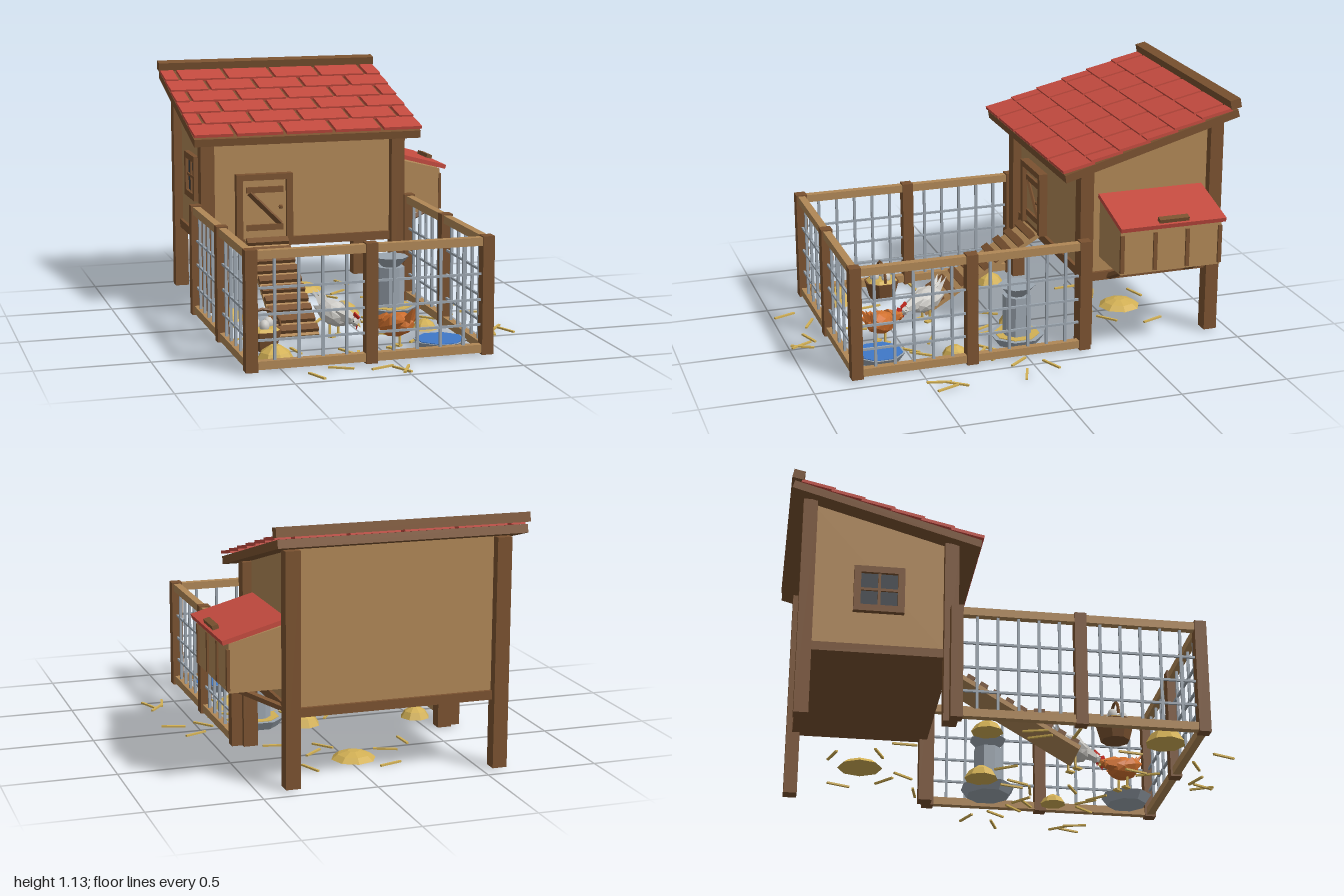
import * as THREE from 'three';

const mat = (name, color) => {
  const m = new THREE.MeshStandardMaterial({ color });
  m.name = name;
  return m;
};
const M = {
  wood: mat('dark wood', 0x7a5230), wall: mat('tan wood', 0xb08756), roof: mat('roof red', 0xc44b3f),
  metal: mat('metal grey', 0x9ca6b0), straw: mat('straw yellow', 0xd2b055), water: mat('water blue', 0x3f78c8),
  white: mat('white feather', 0xcfcdc8), orange: mat('orange feather', 0xd0702e),
  comb: mat('comb red', 0xc8281e), glass: mat('dark glass', 0x3a4046),
};

// Faceted copy of a geometry
const flat = (g) => {
  const f = g.index ? g.toNonIndexed() : g;
  f.computeVertexNormals();
  return f;
};

export function createModel() {
  const root = new THREE.Group();
  const add = (name, geo, m, p = [0, 0, 0], r = [0, 0, 0], parent = root) => {
    const mesh = new THREE.Mesh(geo, m);
    mesh.name = name;
    mesh.position.set(...p);
    mesh.rotation.set(...r);
    parent.add(mesh);
    return mesh;
  };
  const group = (name, parent = root) => {
    const g = new THREE.Group();
    g.name = name;
    parent.add(g);
    return g;
  };
  // Box given by its limits on each axis
  const box = (name, m, x0, x1, y0, y1, z0, z1, parent = root) =>
    add(name, new THREE.BoxGeometry(x1 - x0, y1 - y0, z1 - z0), m,
      [(x0 + x1) / 2, (y0 + y1) / 2, (z0 + z1) / 2], [0, 0, 0], parent);
  // Square-cut beam between two points
  const beam = (name, m, a, b, w, h, parent = root) => {
    const A = new THREE.Vector3(...a), B = new THREE.Vector3(...b);
    const mesh = add(name, new THREE.BoxGeometry(w, h, A.distanceTo(B)), m, [0, 0, 0], [0, 0, 0], parent);
    mesh.position.copy(A).add(B).multiplyScalar(0.5);
    mesh.quaternion.setFromUnitVectors(new THREE.Vector3(0, 0, 1), B.sub(A).normalize());
    return mesh;
  };
  const extrude = (pts, depth) => new THREE.ExtrudeGeometry(
    new THREE.Shape(pts.map((p) => new THREE.Vector2(...p))), { depth, bevelEnabled: false });
  // Profile of (z, y) points extruded from x0 to x1
  const across = (pts, x0, x1) => extrude(pts, x1 - x0).rotateY(-Math.PI / 2).translate(x1, 0, 0);
  const cyl = (rt, rb, h, n = 8) => flat(new THREE.CylinderGeometry(rt, rb, h, n));

  // House body, floor and corner posts
  const house = group('house');
  add('houseBody', across([[-0.3, 0.33], [-0.3, 0.85], [-0.9, 1.02], [-0.9, 0.33]], -0.57, 0.345), M.wall, [0, 0, 0], [0, 0, 0], house);
  box('floorFrame', M.wood, -0.585, 0.36, 0.31, 0.35, -0.915, -0.285, house);
  for (const x of [-0.578, 0.353]) {
    box('frontPost', M.wood, x - 0.0325, x + 0.0325, 0.01, 0.85, -0.32, -0.258, house);
    box('backPost', M.wood, x - 0.0325, x + 0.0325, 0.01, 1.02, -0.942, -0.88, house);
  }

  // Sloping roof with staggered tiles
  const roof = group('roof');
  add('roofDeck', across([[-0.17, 0.815], [-0.165, 0.85], [-0.985, 1.08], [-0.995, 1.045]], -0.658, 0.434), M.wood, [0, 0, 0], [0, 0, 0], roof);
  const tiles = group('tiles', roof);
  tiles.position.set(0, 0.855, -0.16);
  tiles.rotation.x = 0.273;
  const L = -0.66, R = 0.437, pitch = 0.2365, gap = 0.018;
  for (let row = 0; row < 6; row++) {
    const first = row % 2 ? -0.587 : -0.468;
    const cuts = [L - gap / 2];
    for (let x = first; x < R - 0.03; x += pitch) cuts.push(x);
    cuts.push(R + gap / 2);
    for (let i = 0; i + 1 < cuts.length; i++) {
      const a = cuts[i] + gap / 2, b = cuts[i + 1] - gap / 2;
      add('tile', new THREE.BoxGeometry(b - a, 0.014, 0.15), M.roof,
        [(a + b) / 2, 0.008, -row * 0.136 - 0.073], [-0.06, 0, 0], tiles);
    }
  }
  add('ridgeBeam', new THREE.BoxGeometry(1.108, 0.042, 0.05), M.wood, [-0.112, 1.107, -0.97], [0.2, 0, 0], roof);

  // Door with frame and Z brace
  const door = group('door');
  box('doorPanel', M.wall, -0.41, -0.195, 0.35, 0.635, -0.3, -0.283, door);
  for (const x of [-0.44, -0.197]) box('doorJamb', M.wood, x, x + 0.03, 0.35, 0.66, -0.3, -0.26, door);
  box('doorLintel', M.wood, -0.44, -0.167, 0.632, 0.66, -0.3, -0.258, door);
  for (const y of [0.39, 0.57]) box('doorBar', M.wood, -0.39, -0.212, y, y + 0.028, -0.285, -0.27, door);
  beam('doorBrace', M.wood, [-0.375, 0.57, -0.278], [-0.225, 0.418, -0.278], 0.012, 0.026, door);
  add('doorKnob', new THREE.IcosahedronGeometry(0.012), M.wood, [-0.225, 0.5, -0.27], [0, 0, 0], door);

  // Window on the right wall
  const win = group('window');
  box('windowPane', M.glass, -0.58, -0.572, 0.52, 0.7, -0.69, -0.51, win);
  for (const y of [0.505, 0.69]) box('windowFrame', M.wood, -0.595, -0.565, y, y + 0.03, -0.71, -0.49, win);
  for (const z of [-0.71, -0.52]) box('windowFrame', M.wood, -0.595, -0.565, 0.505, 0.72, z, z + 0.03, win);
  box('windowBar', M.wood, -0.588, -0.565, 0.606, 0.618, -0.69, -0.51, win);
  box('windowBar', M.wood, -0.588, -0.565, 0.52, 0.7, -0.606, -0.594, win);

  // Nest box with lid, battens and brackets
  const nest = group('nestBox');
  add('nestBody', extrude([[0.34, 0.42], [0.6, 0.42], [0.6, 0.63], [0.34, 0.695]], 0.48), M.wall, [0, 0, -0.845], [0, 0, 0], nest);
  add('nestLid', new THREE.BoxGeometry(0.29, 0.02, 0.5), M.roof, [0.489, 0.675, -0.605], [0, 0, -0.265], nest);
  add('lidHandle', new THREE.BoxGeometry(0.028, 0.026, 0.14), M.wood, [0.608, 0.658, -0.61], [0, 0, -0.265], nest);
  for (const z of [-0.838, -0.682, -0.528, -0.372]) box('nestBatten', M.wood, 0.595, 0.609, 0.43, 0.605, z - 0.009, z + 0.009, nest);
  for (const z of [-0.785, -0.41]) beam('nestBracket', M.wood, [0.36, 0.325, z], [0.55, 0.42, z], 0.022, 0.022, nest);

  // Ramp with rungs
  const ramp = group('ramp');
  beam('rampBoard', M.wall, [-0.3, 0.345, -0.27], [-0.3, 0.012, 0.3], 0.2, 0.02, ramp);
  for (let i = 0; i < 10; i++) {
    const t = (i + 0.5) / 10;
    add('rampRung', new THREE.BoxGeometry(0.2, 0.02, 0.036), M.wood, [-0.3, 0.362 - 0.333 * t, -0.262 + 0.57 * t], [0.528, 0, 0], ramp);
  }

  // Fence: posts, rails and wire mesh
  const fence = group('fence');
  const xl = -0.635, xr = 0.408, zf = 0.79, zm = 0.262, zb = -0.27, xm = -0.113;
  for (const [x, z] of [[xl, zf], [xm, zf], [xr, zf], [xl, zm], [xr, zm], [xl, zb], [xr, zb]])
    box('fencePost', M.wood, x - 0.026, x + 0.026, 0.01, 0.53, z - 0.026, z + 0.026, fence);
  const panel = (x0, z0, x1, z1, bars) => {
    for (const y of [0.036, 0.506]) beam('fenceRail', M.wall, [x0, y, z0], [x1, y, z1], 0.034, 0.036, fence);
    for (const y of [0.14, 0.25, 0.363]) beam('meshWire', M.metal, [x0, y, z0], [x1, y, z1], 0.01, 0.01, fence);
    for (let i = 1; i <= bars; i++) {
      const t = i / (bars + 1), x = x0 + (x1 - x0) * t, z = z0 + (z1 - z0) * t;
      box('meshWire', M.metal, x - 0.006, x + 0.006, 0.05, 0.49, z - 0.006, z + 0.006, fence);
    }
  };
  panel(xl, zf, xm, zf, 4);
  panel(xm, zf, xr, zf, 4);
  for (const x of [xl, xr]) {
    panel(x, zf, x, zm, 5);
    panel(x, zm, x, zb, 5);
  }

  // Feeder: tray of grain, column and hopper
  const feeder = group('feeder');
  feeder.position.set(0.235, 0, -0.01);
  feeder.rotation.y = Math.PI / 8;
  add('feederTray', cyl(0.128, 0.1, 0.04), M.metal, [0, 0.03, 0], [0, 0, 0], feeder);
  add('feederGrain', cyl(0.105, 0.105, 0.006), M.straw, [0, 0.05, 0], [0, 0, 0], feeder);
  add('feederColumn', cyl(0.066, 0.066, 0.2), M.metal, [0, 0.14, 0], [0, 0, 0], feeder);
  add('feederHopper', cyl(0.086, 0.04, 0.05), M.metal, [0, 0.262, 0], [0, 0, 0], feeder);

  // Water dish
  add('waterBowl', cyl(0.118, 0.09, 0.04), M.metal, [0.25, 0.03, 0.645], [0, Math.PI / 8, 0]);
  add('waterSurface', cyl(0.108, 0.108, 0.006), M.water, [0.25, 0.05, 0.645], [0, Math.PI / 8, 0]);

  // Egg basket
  const basket = group('eggBasket');
  basket.position.set(-0.495, 0, 0.435);
  add('basketBody', cyl(0.085, 0.062, 0.085), M.wood, [0, 0.052, 0], [0, Math.PI / 8, 0], basket);
  add('basketStraw', cyl(0.06, 0.079, 0.014), M.straw, [0, 0.1, 0], [0, Math.PI / 8, 0], basket);
  add('basketHandle', flat(new THREE.TorusGeometry(0.08, 0.007, 4, 8, Math.PI)), M.wood, [0, 0.105, 0], [0, 0, 0], basket);
  for (const [x, z] of [[-0.03, -0.015], [0.03, -0.015], [0, 0.035]])
    add('egg', new THREE.IcosahedronGeometry(0.023, 1).scale(1, 1.25, 1), M.white, [x, 0.118, z], [0, 0, 0], basket);

  // Straw heaps: x, z, radius, height
  for (const [x, z, r, h] of [[-0.51, -0.12, 0.07, 0.05], [0.025, -0.07, 0.077, 0.06], [0.295, 0.305, 0.06, 0.045],
    [-0.495, 0.655, 0.088, 0.07], [-0.025, -0.62, 0.1, 0.035]]) {
    add('strawHeap', cyl(r * 0.72, r, h * 0.6), M.straw, [x, 0.01 + h * 0.3, z], [0, x * 3, 0]);
    add('strawHeapTop', cyl(r * 0.25, r * 0.72, h * 0.4), M.straw, [x, 0.01 + h * 0.8, z], [0, x * 3, 0]);
  }

  // Loose straws: x, z, heading
  const straws = [
    [0.54, -0.07, -0.4], [0.47, 0.06, 0.9], [0.61, 0.07, 0.35], [0.57, 0.46, 1.8], [0.64, 0.44, 1.2], [0.61, 0.39, -0.9],
    [-0.49, 0.11, -1.1], [-0.55, 0.08, -1.3], [-0.55, 0.26, -0.1], [0.1, 0.08, 1.3], [0.05, 0.1, 1.1], [0.14, 0.17, 0.2],
    [0.27, 0.15, -0.7], [0.31, 0.18, 0.6], [0.38, 0.13, 0.8], [0.35, 0.46, 0.9], [0.25, 0.45, -0.9], [-0.37, 0.53, 1.4],
    [-0.16, 0.6, 1.2], [-0.13, 0.66, -1.2], [0.19, 0.49, -0.8], [-0.39, 0.94, 1.2], [-0.26, 0.85, 0.5], [-0.09, 0.89, -0.35],
    [-0.02, 0.94, 1.1], [0, 0.94, -1.1], [-0.2, -0.55, 0.4], [0.12, -0.5, -0.7], [0.2, -0.7, 1.2], [-0.15, -0.75, -0.3],
    [0.05, -0.42, 0.9], [-0.32, -0.45, 1.5], [0.25, -0.35, 0.2], [0.1, 0.36, 0.5], [-0.12, 0.02, -1],
  ];
  for (const [x, z, a] of straws)
    add('looseStraw', new THREE.BoxGeometry(0.11, 0.008, 0.011), M.straw, [x, 0.013, z], [0, -a, 0]);

  // Pecking hens, built facing +z
  const hen = (name, m, x, z, heading) => {
    const g = group(name);
    g.position.set(x, 0, z);
    g.rotation.y = heading;
    const part = (n, geo, mm, p, r) => add(n, flat(geo), mm, p, r, g);
    part('body', new THREE.IcosahedronGeometry(1, 1).scale(0.06, 0.055, 0.09), m, [0, 0.115, 0], [0.25, 0, 0]);
    part('neck', new THREE.CylinderGeometry(0.02, 0.042, 0.085, 6), m, [0, 0.112, 0.088], [1.75, 0, 0]);
    part('head', new THREE.IcosahedronGeometry(0.024), m, [0, 0.1, 0.138]);
    part('beak', new THREE.ConeGeometry(0.009, 0.026, 4), M.straw, [0, 0.086, 0.162], [2.2, 0, 0]);
    part('comb', new THREE.BoxGeometry(0.007, 0.022, 0.034), M.comb, [0, 0.124, 0.142], [0.5, 0, 0]);
    part('wattle', new THREE.ConeGeometry(0.009, 0.024, 4), M.comb, [0, 0.075, 0.144], [Math.PI, 0, 0]);
    for (const i of [-1, 0, 1])
      part('tailFeather', new THREE.ConeGeometry(0.03, 0.12, 4), m, [i * 0.018, 0.16, -0.075], [-0.6, 0, -i * 0.2]);
    for (const s of [-1, 1]) {
      part('wing', new THREE.OctahedronGeometry(1).scale(0.014, 0.035, 0.068), m, [s * 0.056, 0.125, -0.012], [0.3, 0, 0]);
      part('leg', new THREE.CylinderGeometry(0.006, 0.006, 0.07, 5), M.straw, [s * 0.026, 0.045, 0]);
      part('foot', new THREE.BoxGeometry(0.024, 0.008, 0.036), M.straw, [s * 0.026, 0.014, 0.01]);
      part('eye', new THREE.OctahedronGeometry(0.004), M.glass, [s * 0.02, 0.106, 0.146]);
    }
  };
  hen('whiteHen', M.white, -0.135, 0.315, 0.48);
  hen('orangeHen', M.orange, 0.068, 0.59, Math.atan2(-0.13, -0.17));

  return root;
}
